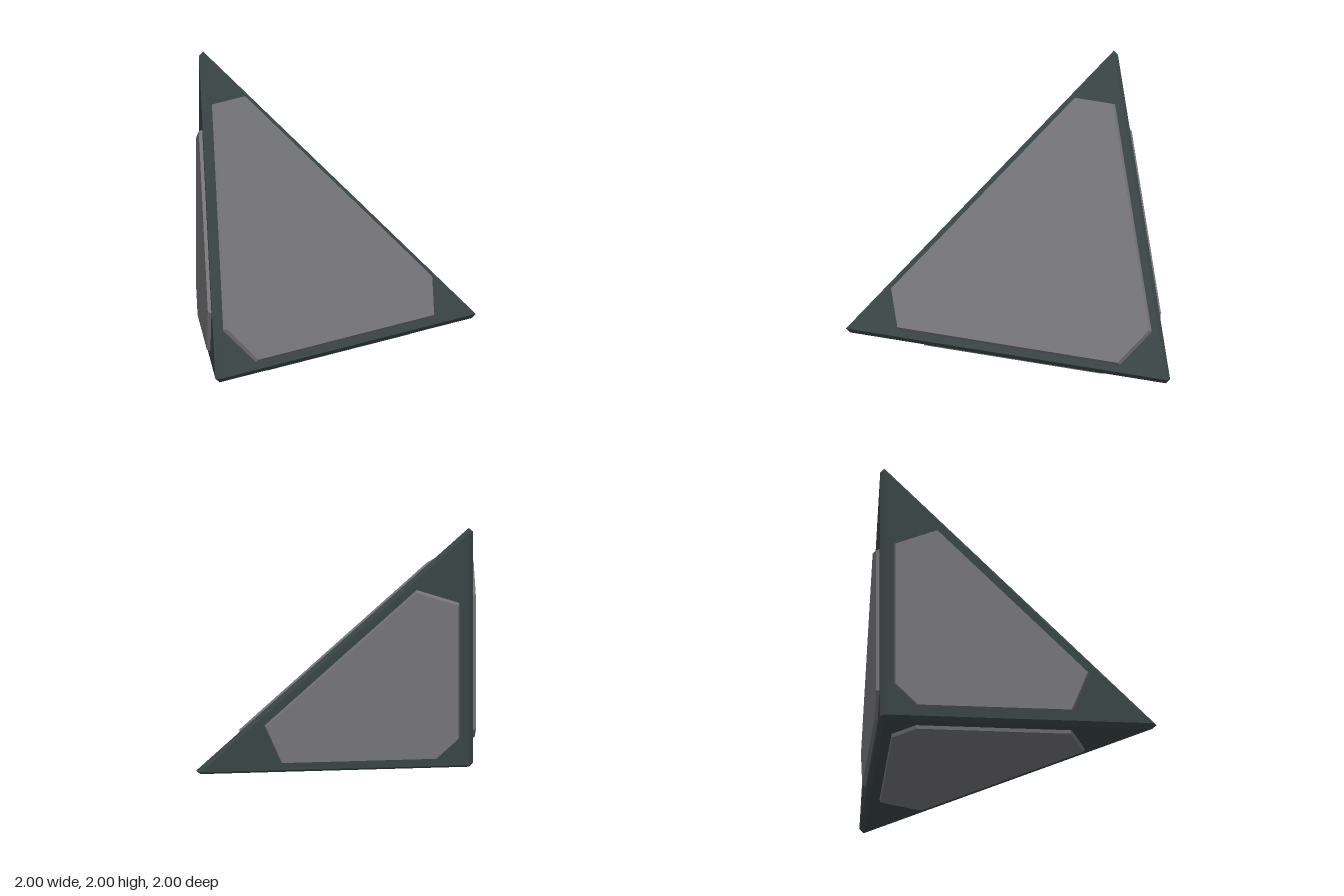
import * as THREE from 'three';
import { ConvexGeometry } from 'three/addons/geometries/ConvexGeometry.js';

// Points are given as distances (u, v, w) from the square corner of the block.
const toModel = ([u, v, w]) => new THREE.Vector3(u - 1, v, w - 1);

// All orderings of three distances.
const orderings = (a, b, c) => [[a, b, c], [a, c, b], [b, a, c], [b, c, a], [c, a, b], [c, b, a]];

// Puts a flat point (a, b) on the face lying at the given depth along one axis.
function onFace(axis, a, b, depth) {
  const p = [a, b];
  p.splice(axis, 0, depth);
  return p;
}

function hull(name, points, material) {
  const mesh = new THREE.Mesh(new ConvexGeometry(points.map(toModel)), material);
  mesh.name = name;
  return mesh;
}

export function createModel() {
  const frame = new THREE.MeshStandardMaterial({ color: 0x3a4444 });
  frame.name = 'dark slate';
  const plate = new THREE.MeshStandardMaterial({ color: 0x747478 });
  plate.name = 'mid grey';

  const group = new THREE.Group();
  group.name = 'cornerArmorBlock';

  // Bevelled corner tetrahedron: a sloped triangle and three square-corner triangles
  const e = 0.055;
  const body = [[2, e, e], [e, 2, e], [e, e, 2]];
  for (let axis = 0; axis < 3; axis++) {
    for (const [a, b] of [[e, e], [1.97, e], [e, 1.97]]) body.push(onFace(axis, a, b, 0.025));
  }
  group.add(hull('body', body, frame));

  // Raised six-sided plate on each square face, slightly wider at its base
  const outline = [[0.13, 0.29], [0.13, 1.39], [0.43, 1.505], [1.505, 0.43], [1.39, 0.13], [0.29, 0.13]];
  const mid = 0.63;
  const flare = 1.012;
  ['leftSidePlate', 'bottomPlate', 'backPlate'].forEach((name, axis) => {
    const points = [];
    for (const [a, b] of outline) {
      points.push(onFace(axis, a, b, 0));
      points.push(onFace(axis, mid + (a - mid) * flare, mid + (b - mid) * flare, 0.025));
    }
    group.add(hull(name, points, plate));
  });

  // Raised plate on the sloped face
  group.add(hull('slopePlate', [
    ...orderings(0.12, 0.35, 1.685),
    ...orderings(0.1, 0.333, 1.677),
  ], plate));

  return group;
}
